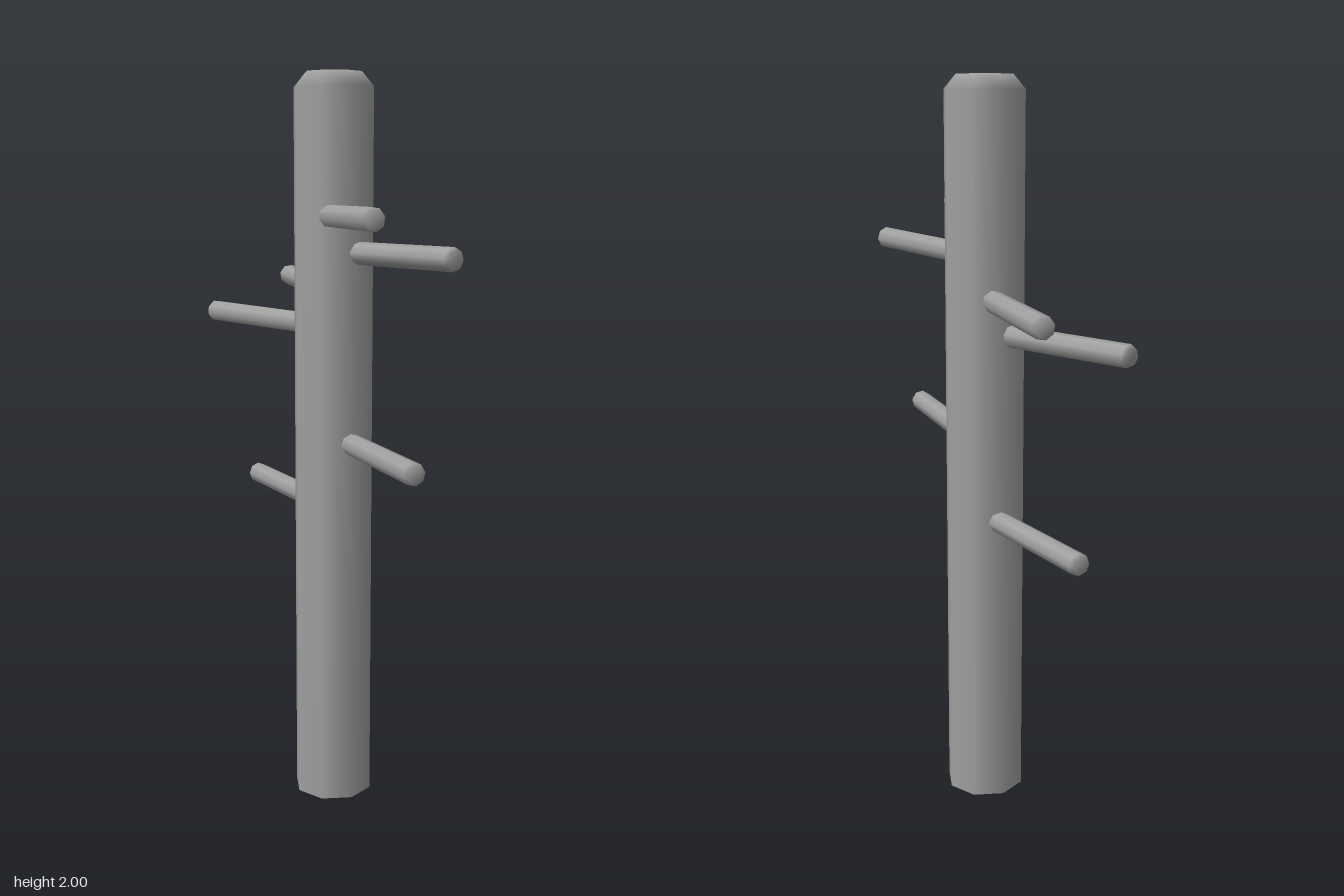
import * as THREE from 'three';

const material = new THREE.MeshStandardMaterial({ color: 0xa0a0a0, side: THREE.DoubleSide });
const UP = new THREE.Vector3(0, 1, 0);

// Eight-sided open-bottomed rod along +y with a chamfered tip
function rod(name, radius, length, tipRadius, chamfer) {
  const profile = [
    [radius, 0],
    [radius, length - chamfer],
    [tipRadius, length],
    [0, length],
  ].map(([x, y]) => new THREE.Vector2(x, y));
  const mesh = new THREE.Mesh(new THREE.LatheGeometry(profile, 8), material);
  mesh.name = name;
  return mesh;
}

// Peg running from a root inside the post to its tip
function peg(name, root, tip) {
  const start = new THREE.Vector3(...root);
  const direction = new THREE.Vector3(...tip).sub(start);
  const mesh = rod(name, 0.03, direction.length(), 0.023, 0.01);
  mesh.position.copy(start);
  mesh.quaternion.setFromUnitVectors(UP, direction.normalize());
  return mesh;
}

export function createModel() {
  const model = new THREE.Group();
  model.name = 'peggedPost';

  const post = rod('post', 0.11, 2, 0.077, 0.038);
  post.position.x = 0.014;
  model.add(post);

  // Pegs: name, root, tip
  const pegs = [
    ['frontUpperRightPeg', [-0.04, 1.631, 0.08], [-0.141, 1.636, 0.482]],
    ['frontUpperLeftPeg', [0.032, 1.534, 0.08], [0.072, 1.539, 0.504]],
    ['frontLowerPeg', [0.018, 1.024, 0.08], [-0.045, 1.03, 0.523]],
    ['backUpperLeftPeg', [0.035, 1.428, -0.08], [0.142, 1.434, -0.521]],
    ['backUpperRightPeg', [-0.005, 1.333, -0.08], [-0.12, 1.339, -0.499]],
    ['backLowerPeg', [0.022, 0.823, -0.08], [0.019, 0.828, -0.506]],
  ];
  for (const [name, root, tip] of pegs) model.add(peg(name, root, tip));

  return model;
}
